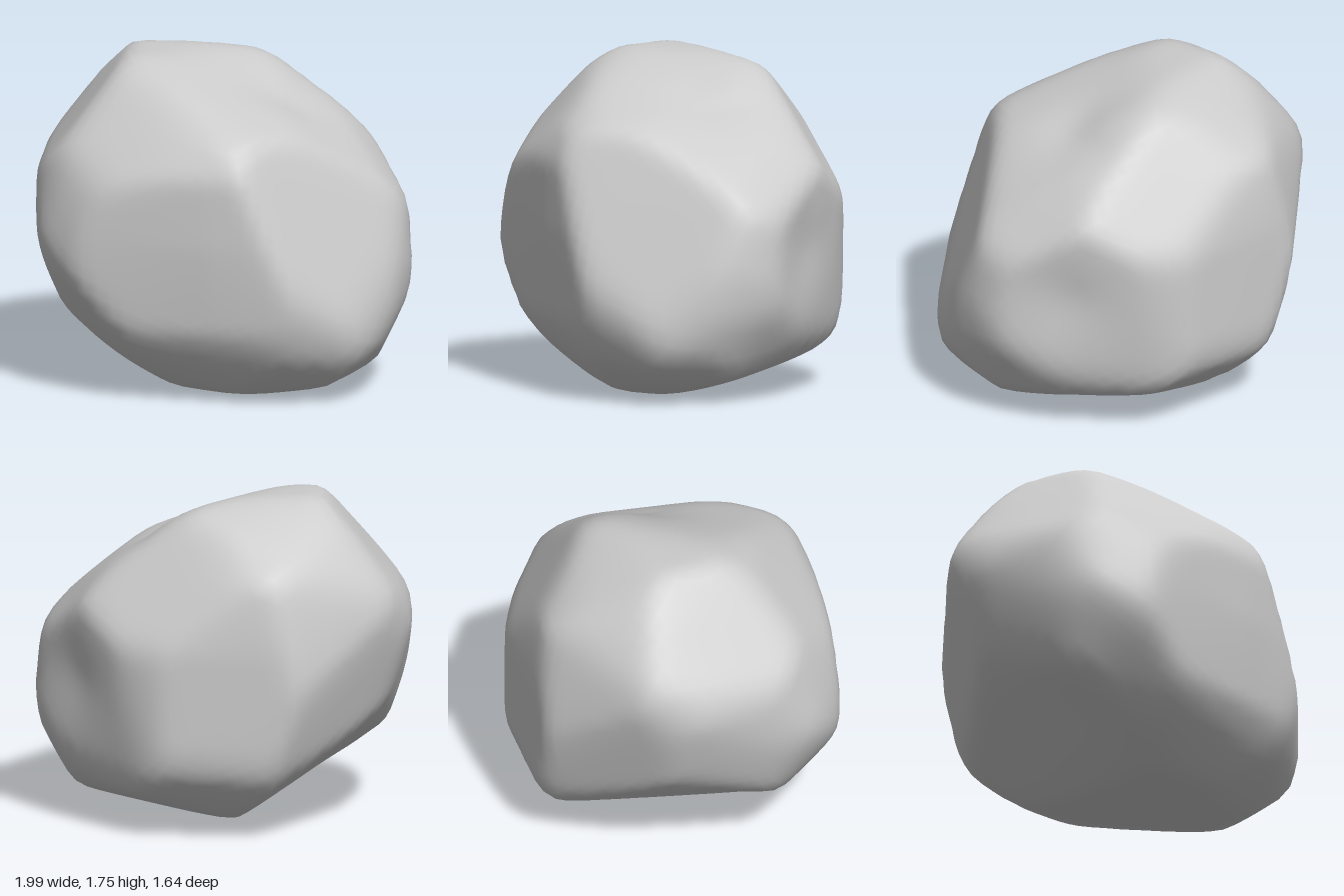
import * as THREE from 'three';
import { mergeVertices } from 'three/addons/utils/BufferGeometryUtils.js';

const MID = 0.88; // height of the boulder's core
const TILT = 0.57; // slope of the oblique outlines

// A closed outline around the core, seen from a turn about the vertical and a tilt
function outline(turn, tilt, points) {
  const a = turn * Math.PI / 4;
  return {
    right: new THREE.Vector3(Math.cos(a), 0, -Math.sin(a)),
    up: new THREE.Vector3(-Math.sin(a) * Math.sin(tilt), Math.cos(tilt), -Math.cos(a) * Math.sin(tilt)),
    points,
  };
}
const raised = (points) => points.map(([a, y]) => [a, y - MID]);

const front = outline(0, 0, raised([[-0.52, 1.75], [0.07, 1.73], [0.23, 1.67], [0.38, 1.52], [0.76, 1.27],
  [0.94, 1.06], [1, 0.66], [0.97, 0.48], [0.8, 0.07], [0.25, 0], [-0.15, 0.03], [-0.68, 0.26], [-0.78, 0.38],
  [-1, 1.07], [-0.95, 1.25], [-0.73, 1.56]]));
const side = outline(-2, 0, raised([[0.42, 1.62], [0.15, 1.74], [-0.2, 1.75], [-0.53, 1.63], [-0.74, 1.38],
  [-0.81, 1], [-0.82, 0.5], [-0.75, 0.18], [-0.5, 0.06], [0.3, 0], [0.58, 0.02], [0.77, 0.42], [0.82, 0.88],
  [0.8, 1.22], [0.71, 1.42]]));
const plan = outline(0, Math.PI / 2, [[-0.5, 0.78], [0.2, 0.82], [0.48, 0.7], [0.68, 0.53], [0.97, 0.15], [1, 0.02],
  [0.96, -0.2], [0.81, -0.57], [0.53, -0.78], [0.1, -0.81], [-0.6, -0.78], [-0.87, -0.6], [-1, 0.08],
  [-0.92, 0.38]]);
const frontCorner = outline(1, TILT, [[-0.28, 1], [0.31, 0.86], [0.85, 0.19], [0.83, -0.57], [0.54, -0.94],
  [0.19, -1.05], [-0.21, -0.96], [-0.86, -0.57], [-1.06, -0.16], [-0.91, 0.44]]);
const backCorner = outline(5, TILT, [[0.12, 0.86], [0.42, 0.76], [0.82, 0.5], [1.04, -0.1], [0.82, -0.53],
  [0.54, -0.61], [-0.26, -0.91], [-0.75, -0.64], [-0.86, 0.13], [-0.85, 0.33], [-0.57, 0.57]]);
const underCorner = outline(3, -TILT, [[0.23, 0.88], [0.78, 0.59], [0.92, 0.04], [0.75, -0.44], [0.25, -0.89],
  [-0.19, -0.93], [-0.76, -0.77], [-0.99, -0.24], [-0.76, 0.47], [-0.22, 0.76]]);
const outlines = [front, side, plan, frontCorner, backCorner, underCorner];

// Broken facets: normal and distance from the core
const facet = (x, y, z, d) => ({ n: new THREE.Vector3(x, y, z).normalize(), d });
const facets = [
  facet(0.75, 0.32, 0.57, 0.78), // left front flank
  facet(0.31, 0.93, 0.2, 0.73), // slope falling from the peak
  facet(-0.25, 0.65, 0.72, 0.85), // brow over the front
  facet(0.2, -0.95, -0.25, 0.86), // undercut at the back
  facet(1, 1, -1, 0.93), facet(-1, 1, -1, 0.96), facet(-1, -1, 1, 0.94),
  facet(1, -1, -1, 0.96), facet(-1, -1, -1, 0.96),
];

// Shallow dents: direction and depth
const dents = [facet(0.3, 0.62, 0, 0.04), facet(0.85, -0.1, -0.45, 0.04)];

// Distance at which a ray from the core leaves an outline
function reach({ right, up, points }, d) {
  const u = right.dot(d), v = up.dot(d);
  let hit = Infinity;
  points.forEach(([ax, ay], i) => {
    const [bx, by] = points[(i + 1) % points.length];
    const ex = bx - ax, ey = by - ay;
    const det = u * ey - v * ex;
    if (Math.abs(det) < 1e-9) return;
    const t = (ax * ey - ay * ex) / det;
    const s = (ax * v - ay * u) / det;
    if (t > 0 && s >= -1e-6 && s <= 1 + 1e-6) hit = Math.min(hit, t);
  });
  return hit;
}

// Soft minimum of all the limits gives worn, rounded edges
function radius(d) {
  const limits = outlines.map((o) => reach(o, d));
  for (const f of facets) {
    const c = f.n.dot(d);
    if (c > 0.05) limits.push(f.d / c);
  }
  const p = 40;
  let r = 1.02 * Math.pow(limits.reduce((sum, l) => sum + Math.pow(l, -p), 0), -1 / p);
  for (const b of dents) r -= b.d * Math.exp(-25 * (1 - b.n.dot(d)));
  return r;
}

export function createModel() {
  const group = new THREE.Group();
  group.name = 'boulder';

  let geometry = new THREE.IcosahedronGeometry(1, 15);
  geometry.deleteAttribute('normal');
  geometry.deleteAttribute('uv');
  geometry = mergeVertices(geometry, 1e-4);

  const pos = geometry.attributes.position;
  const d = new THREE.Vector3();
  for (let i = 0; i < pos.count; i++) {
    d.fromBufferAttribute(pos, i).normalize();
    d.multiplyScalar(radius(d));
    pos.setXYZ(i, d.x, d.y, d.z);
  }

  // Stand it on the floor
  geometry.computeBoundingBox();
  geometry.translate(0, -geometry.boundingBox.min.y, 0);
  geometry.computeVertexNormals();

  const rock = new THREE.Mesh(geometry, new THREE.MeshStandardMaterial({ color: 0xcccccc }));
  rock.name = 'rock';
  group.add(rock);
  return group;
}
